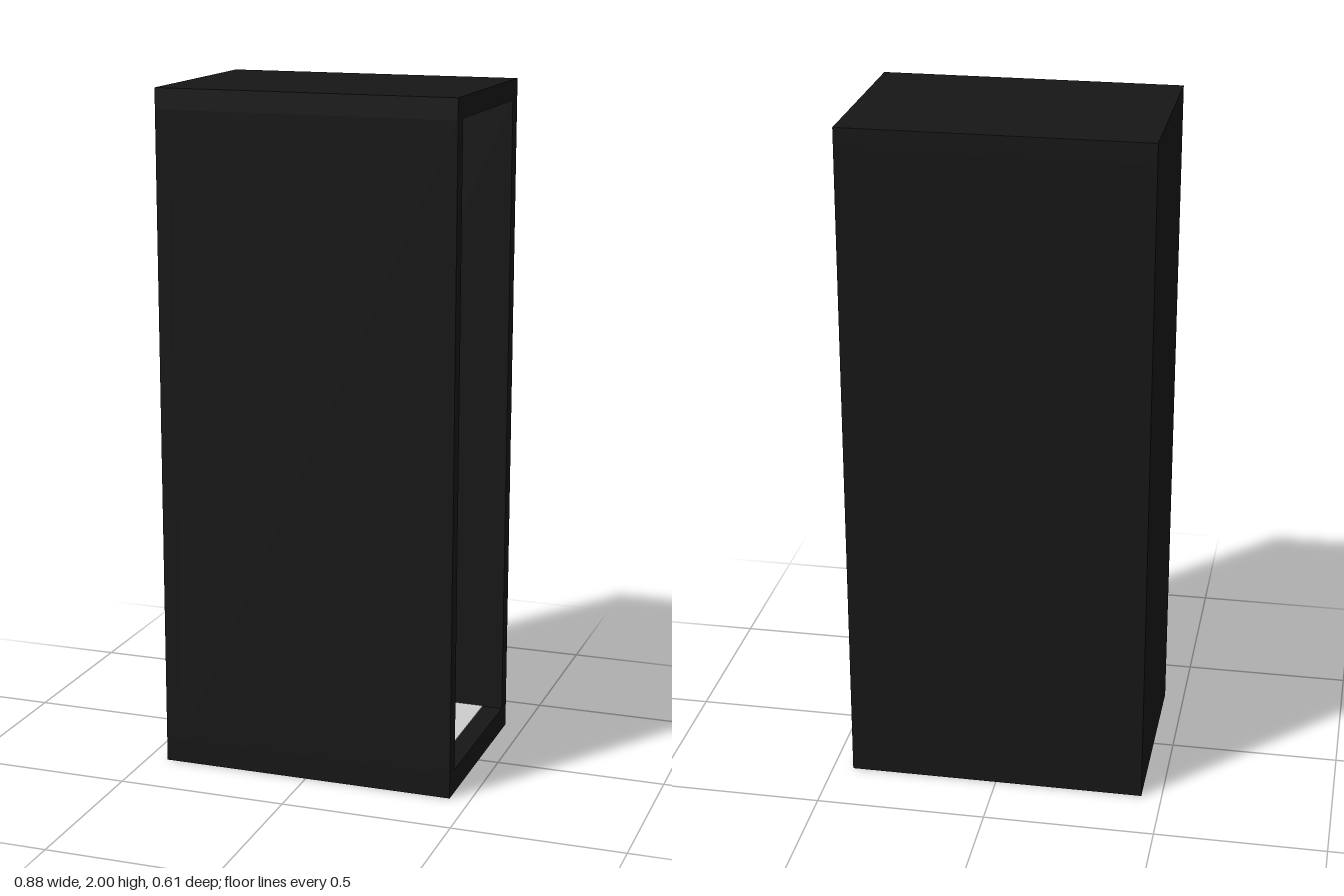
import * as THREE from 'three';

const mat = (color) => new THREE.MeshStandardMaterial({ color });
const black = mat(0x161616), dark = mat(0x2b2b2b), trim = mat(0x484848), grey = mat(0x808080);
const light = mat(0xcccccc), red = mat(0xc8102e), green = mat(0x1fb573);

const W = 0.88, H = 2, D = 0.61;       // cabinet size in x, y, z
const WALL = 0.05, BASE = 0.07;
const FACE = 0.235;                    // x of the recessed server fronts

// Box given by its minimum and maximum corners
function box(parent, name, material, x0, x1, y0, y1, z0, z1) {
  const mesh = new THREE.Mesh(new THREE.BoxGeometry(x1 - x0, y1 - y0, z1 - z0), material);
  mesh.position.set((x0 + x1) / 2, (y0 + y1) / 2, (z0 + z1) / 2);
  mesh.name = name;
  parent.add(mesh);
  return mesh;
}

// Round stud or lamp whose axis points out of the opening
function stud(parent, name, material, y, z, ry, rz, depth) {
  const geometry = new THREE.CylinderGeometry(1, 1, depth, 12).rotateZ(-Math.PI / 2);
  geometry.scale(1, ry, rz);
  const mesh = new THREE.Mesh(geometry, material);
  mesh.position.set(FACE + depth / 2, y, z);
  mesh.name = name;
  parent.add(mesh);
}

// Outer shell, open towards +x
function createCabinet() {
  const g = new THREE.Group();
  g.name = 'cabinet';
  const x = W / 2, z = D / 2;
  box(g, 'base', black, -x, x, 0, BASE, -z, z);
  box(g, 'roof', black, -x, x, H - 0.06, H, -z, z);
  box(g, 'backWall', black, -x, -x + WALL, BASE, H - 0.06, -z, z);
  for (const s of [-1, 1]) {
    const a = s * z, b = s * (z - WALL + 0.002);
    box(g, 'sideWall', black, -x + WALL, x, BASE, H - 0.06, Math.min(a, b), Math.max(a, b));
  }
  box(g, 'floorPlate', light, -x + WALL, 0.38, BASE, BASE + 0.003, -0.253, 0.253);
  return g;
}

// One rack server, centred on y = 0
function createServer() {
  const g = new THREE.Group();
  g.name = 'server';
  const h = 0.04, w = 0.252;
  box(g, 'body', dark, -0.38, FACE - 0.004, -h, h, -w, w);

  // Raised rim around the front
  box(g, 'rimTop', trim, FACE - 0.004, FACE + 0.012, h - 0.006, h, -w, w);
  box(g, 'rimBottom', trim, FACE - 0.004, FACE + 0.012, -h, -h + 0.006, -w, w);
  box(g, 'rimLeft', dark, FACE - 0.004, FACE + 0.012, -h + 0.006, h - 0.006, -w, -w + 0.006);
  box(g, 'rimRight', dark, FACE - 0.004, FACE + 0.012, -h + 0.006, h - 0.006, w - 0.014, w);

  // Control panel with lamp, buttons and red handles
  box(g, 'controlPanel', grey, FACE - 0.004, FACE, -0.032, 0.032, 0.04, 0.238);
  stud(g, 'lamp', green, 0, 0.218, 0.018, 0.017, 0.005);
  for (const z of [0.186, 0.157, 0.128])
    for (const y of [-0.021, 0, 0.021]) stud(g, 'button', dark, y, z, 0.0092, 0.0125, 0.005);
  for (const z of [0.095, 0.07])
    box(g, 'handle', red, FACE, FACE + 0.008, -0.032, 0.032, z - 0.008, z + 0.008);

  // Ventilation grille: dark fins over a light backing
  box(g, 'grilleBacking', light, FACE - 0.004, FACE - 0.001, -0.026, 0.026, -0.246, 0.038);
  const fins = 20, pitch = 0.284 / fins;
  for (let i = 0; i <= fins; i++) {
    const z = 0.038 - i * pitch;
    box(g, 'grilleFin', dark, FACE - 0.001, FACE + 0.009, -0.034, 0.034, z - 0.0042, z + 0.0042);
  }
  return g;
}

export function createModel() {
  const model = new THREE.Group();
  model.name = 'serverRack';
  model.add(createCabinet());

  // Stack of identical servers
  const server = createServer();
  for (let i = 0; i < 18; i++) {
    const copy = server.clone();
    copy.position.y = 0.115 + i * 0.1044;
    model.add(copy);
  }
  return model;
}
